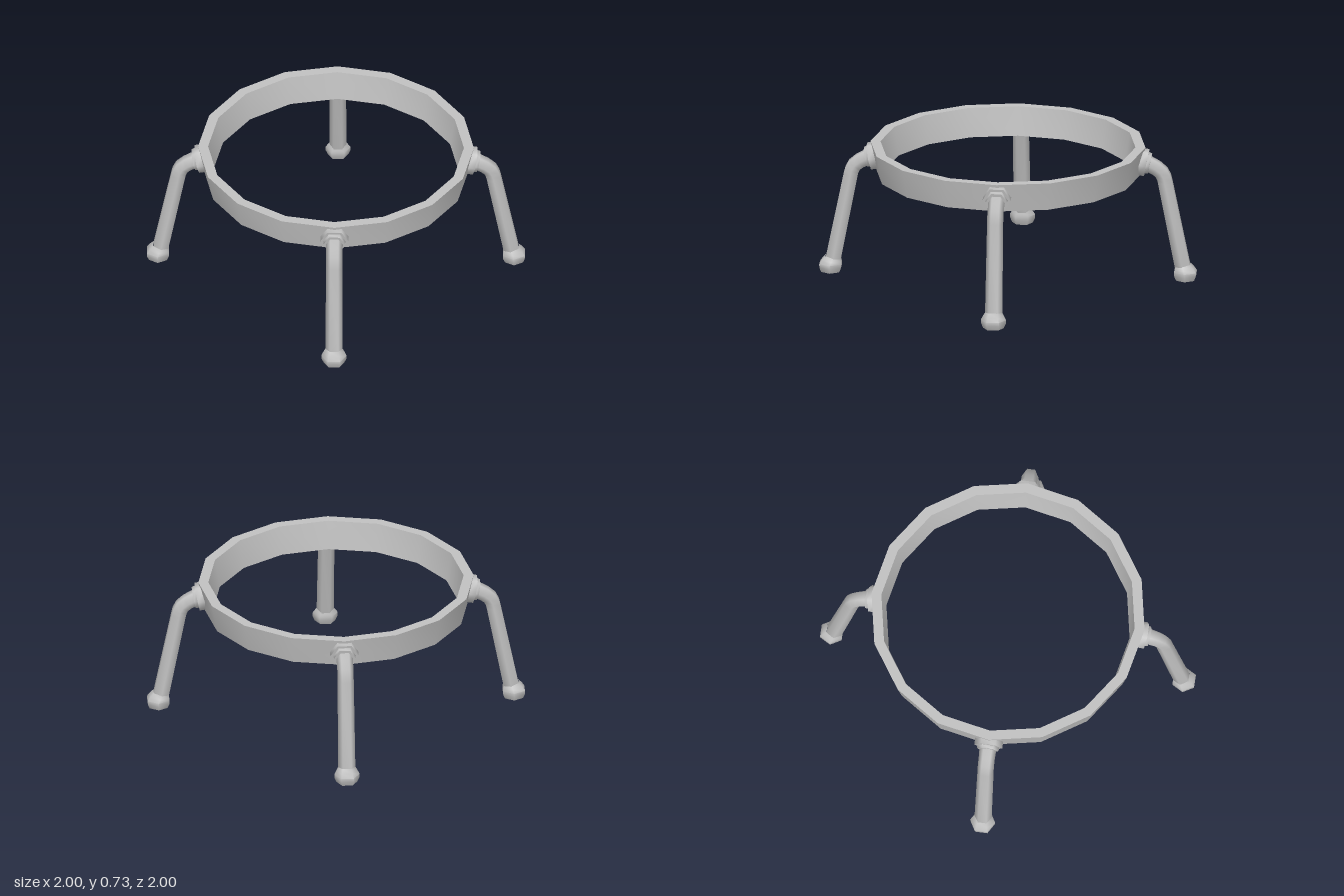
import * as THREE from 'three';
import { toCreasedNormals } from 'three/addons/utils/BufferGeometryUtils.js';

const SIDES = 6;

// Sweeps a hexagon through sections [x, y, tilt in degrees, radius] lying in the xy plane
function sweep(sections) {
  const positions = [];
  const index = [];
  sections.forEach(([x, y, tilt, r], i) => {
    const a = THREE.MathUtils.degToRad(tilt);
    for (let j = 0; j < SIDES; j++) {
      const t = (j / SIDES) * Math.PI * 2;
      const n = r * Math.sin(t);
      positions.push(x - Math.sin(a) * n, y + Math.cos(a) * n, r * Math.cos(t));
      if (i === 0) continue;
      const k = (j + 1) % SIDES;
      const p = (i - 1) * SIDES, q = i * SIDES;
      index.push(p + j, q + j, q + k, p + j, q + k, p + k);
    }
  });
  // Flat cap on the last section
  const last = (sections.length - 1) * SIDES;
  for (let j = 1; j < SIDES - 1; j++) index.push(last, last + j + 1, last + j);
  const geometry = new THREE.BufferGeometry();
  geometry.setAttribute('position', new THREE.Float32BufferAttribute(positions, 3));
  geometry.setIndex(index);
  return toCreasedNormals(geometry, 1.1);
}

export function createModel() {
  const model = new THREE.Group();
  model.name = 'ringStand';
  const metal = new THREE.MeshStandardMaterial({ color: 0xc0c0c0 });
  metal.name = 'grey metal';

  // Sixteen-sided hoop, slightly narrower at the bottom
  const profile = [[0.65, 0.57], [0.70, 0.57], [0.73, 0.725], [0.677, 0.725], [0.65, 0.57]]
    .map(([r, y]) => new THREE.Vector2(r, y));
  const hoop = new THREE.Mesh(toCreasedNormals(new THREE.LatheGeometry(profile, 16), 0.7), metal);
  hoop.name = 'hoop';
  model.add(hoop);

  // Hexagonal collar where a leg meets the hoop
  const collarGeometry = sweep([
    [0.69, 0.65, -11, 0.075],
    [0.737, 0.642, -11, 0.075],
    [0.737, 0.642, -11, 0.06],
    [0.755, 0.638, -11, 0.056],
  ]);

  // Bent pipe leg
  const pipeGeometry = sweep([
    [0.72, 0.64, -11, 0.046],
    [0.755, 0.632, -14, 0.045],
    [0.787, 0.615, -33, 0.043],
    [0.815, 0.592, -54, 0.043],
    [0.829, 0.565, -72, 0.043],
    [0.835, 0.54, -78, 0.043],
    [0.928, 0.07, -78, 0.046],
  ]);

  // Flared foot
  const footGeometry = sweep([
    [0.928, 0.08, -80, 0.046],
    [0.936, 0.062, -85, 0.058],
    [0.942, 0.045, -90, 0.067],
    [0.942, 0.025, -90, 0.066],
    [0.942, 0, -90, 0.055],
  ]);

  // Four legs, a quarter turn apart
  ['left', 'back', 'right', 'front'].forEach((side, i) => {
    const leg = new THREE.Group();
    leg.name = side + 'Leg';
    const parts = { Collar: collarGeometry, Pipe: pipeGeometry, Foot: footGeometry };
    for (const [part, geometry] of Object.entries(parts)) {
      const mesh = new THREE.Mesh(geometry, metal);
      mesh.name = side + part;
      leg.add(mesh);
    }
    leg.rotation.y = (i * Math.PI) / 2;
    model.add(leg);
  });

  return model;
}
